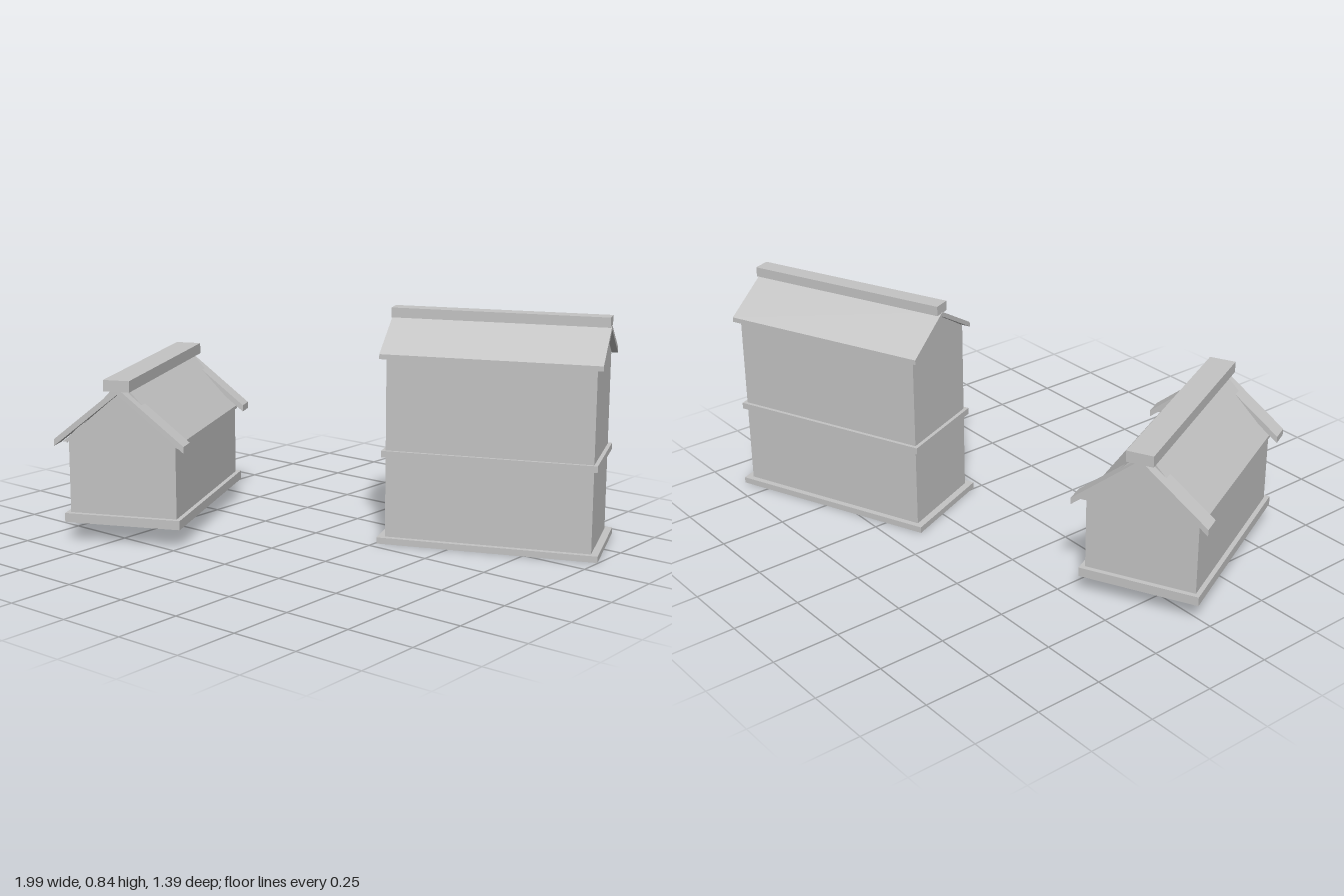
import * as THREE from 'three';

const grey = new THREE.MeshStandardMaterial({ color: 0xc4c4c4 });
grey.name = 'plain grey';

function add(group, name, geometry) {
  const mesh = new THREE.Mesh(geometry, grey);
  mesh.name = name;
  group.add(mesh);
  return mesh;
}

function polygon(points) {
  return new THREE.Shape(points.map(([x, y]) => new THREE.Vector2(x, y)));
}

// Hollow rectangular ring; hw and hl are half width and half length
function ring(hw, hl, iw, il, y0, y1) {
  const rect = (w, l) => [[-w, -l], [w, -l], [w, l], [-w, l]];
  const shape = polygon(rect(hw, hl));
  shape.holes.push(polygon(rect(iw, il)));
  const g = new THREE.ExtrudeGeometry(shape, { depth: y1 - y0, bevelEnabled: false });
  return g.rotateX(-Math.PI / 2).translate(0, y0, 0);
}

// Profile in the gable plane, extruded along the ridge from z0 to z1
function alongRidge(points, z0, z1) {
  const g = new THREE.ExtrudeGeometry(polygon(points), { depth: z1 - z0, bevelEnabled: false });
  return g.translate(0, 0, z0);
}

// Inverted V: half width, bottom and top of the eave, top of the apex
function chevron(h, e0, e1, apex) {
  const t = e1 - e0;
  return [[h, e0], [h, e1], [0, apex], [-h, e1], [-h, e0], [0, apex - t]];
}

function house(name, d) {
  const g = new THREE.Group();
  g.name = name;
  const [w, l] = d.wall;
  const iw = w - 0.008, il = l - 0.008;

  add(g, 'walls', ring(w, l, iw, il, d.baseY[0], d.wallTop));
  add(g, 'basePlinth', ring(...d.base, iw, il, ...d.baseY));
  if (d.band) add(g, 'floorBand', ring(...d.band, iw, il, ...d.bandY));

  // Gable ends
  for (const s of [-1, 1]) {
    const z = s > 0 ? [l - 0.008, l + d.proud] : [-l - d.proud, -l + 0.008];
    const tri = [[-d.gable[0], d.wallTop], [d.gable[0], d.wallTop], [0, d.gable[1]]];
    add(g, 'gable', alongRidge(tri, ...z));
  }

  add(g, 'roof', alongRidge(chevron(...d.roof), -d.roofL, d.roofL));

  // Raised verge boards at both ends
  if (d.verge) {
    add(g, 'vergeBoard', alongRidge(chevron(...d.verge), d.vergeZ[0], d.vergeZ[1]));
    add(g, 'vergeBoard', alongRidge(chevron(...d.verge), -d.vergeZ[1], -d.vergeZ[0]));
  }

  // Ridge beam
  const [rw, rl, r0, r1] = d.ridge;
  add(g, 'ridgeBeam', new THREE.BoxGeometry(rw * 2, r1 - r0, rl * 2).translate(0, (r0 + r1) / 2, 0));

  g.position.set(d.at[0], 0, d.at[1]);
  g.rotation.y = THREE.MathUtils.degToRad(d.turn);
  return g;
}

export function createModel() {
  const model = new THREE.Group();
  model.name = 'twoHouses';

  model.add(house('tallHouse', {
    at: [0.553, -0.368], turn: 112.4,
    wall: [0.173, 0.375], wallTop: 0.69,
    base: [0.194, 0.401], baseY: [0, 0.023],
    band: [0.186, 0.389], bandY: [0.322, 0.346],
    gable: [0.173, 0.797], proud: 0,
    roof: [0.191, 0.682, 0.7, 0.813], roofL: 0.397,
    ridge: [0.032, 0.395, 0.808, 0.844],
  }));

  model.add(house('lowHouse', {
    at: [-0.603, 0.225], turn: 25.3,
    wall: [0.203, 0.362], wallTop: 0.372,
    base: [0.22, 0.38], baseY: [0.072, 0.106],
    gable: [0.222, 0.562], proud: 0.008,
    roof: [0.212, 0.366, 0.378, 0.606], roofL: 0.362,
    verge: [0.246, 0.36, 0.385, 0.585], vergeZ: [0.328, 0.398],
    ridge: [0.049, 0.402, 0.572, 0.613],
  }));

  return model;
}
